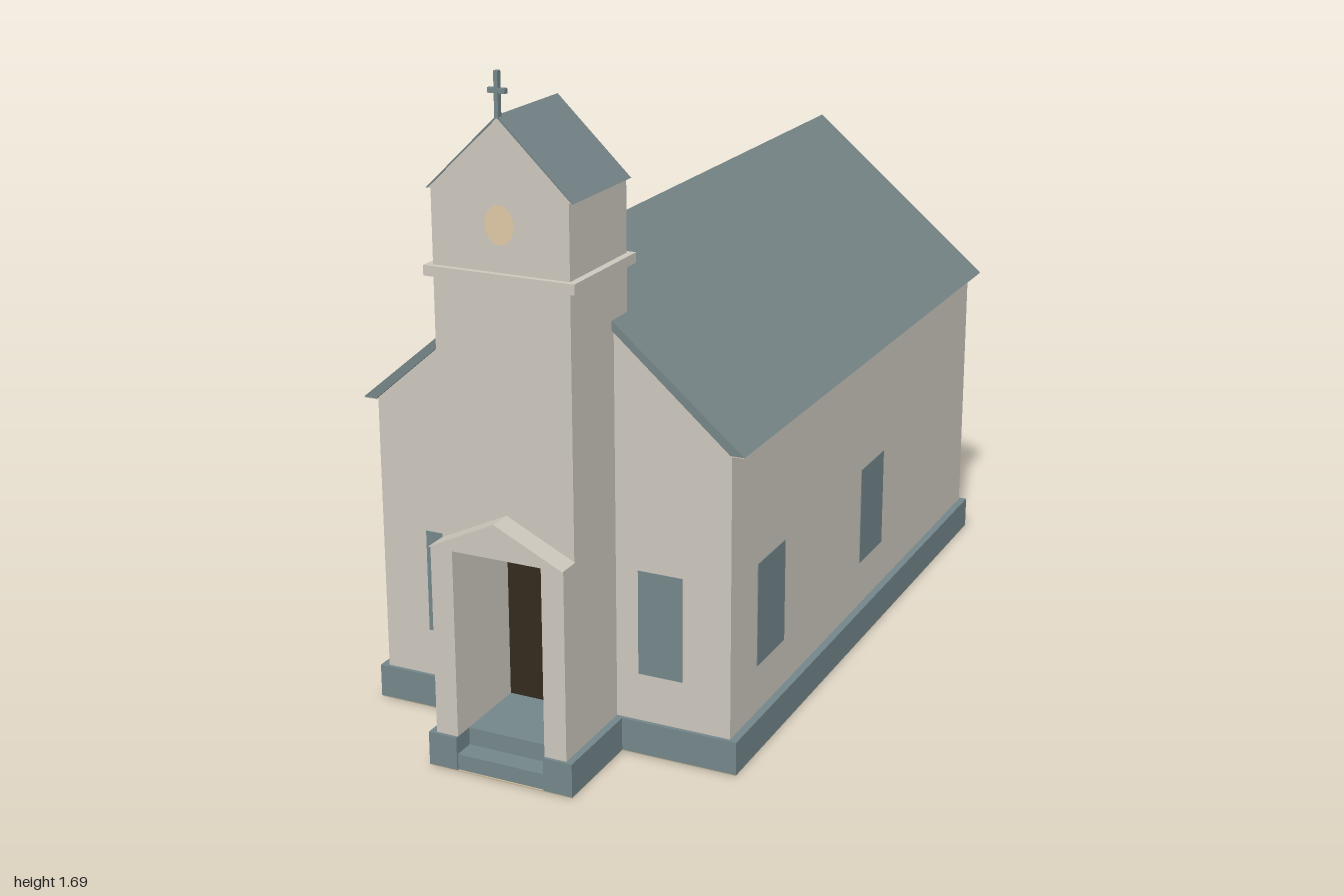
import * as THREE from 'three';

const mat = (name, color) => {
  const m = new THREE.MeshStandardMaterial({ color });
  m.name = name;
  return m;
};

export function createModel() {
  const church = new THREE.Group();
  church.name = 'church';

  const wall = mat('cream wall', 0xccc8bd);
  const slate = mat('slate', 0x74868a);
  const shingle = mat('grey roof', 0x768588);
  const door = mat('dark wood', 0x34291e);
  const ground = mat('tan underside', 0xc4b597);
  const amber = mat('amber glass', 0xdfc8a4);

  const add = (name, geometry, material) => {
    const mesh = new THREE.Mesh(geometry, material);
    mesh.name = name;
    church.add(mesh);
    return mesh;
  };

  // Box given by its limits on each axis
  const box = (name, material, x0, x1, y0, y1, z0, z1) => {
    const g = new THREE.BoxGeometry(x1 - x0, y1 - y0, z1 - z0);
    g.translate((x0 + x1) / 2, (y0 + y1) / 2, (z0 + z1) / 2);
    return add(name, g, material);
  };

  // The same box on both sides of the model
  const boxPair = (name, material, x0, x1, ...rest) => {
    box(name, material, x0, x1, ...rest);
    box(name, material, -x1, -x0, ...rest);
  };

  // Outline in x and y, extruded from z0 to z1
  const prism = (name, material, points, z0, z1) => {
    const shape = new THREE.Shape(points.map(([x, y]) => new THREE.Vector2(x, y)));
    const g = new THREE.ExtrudeGeometry(shape, { depth: z1 - z0, bevelEnabled: false });
    g.translate(0, 0, z0);
    return add(name, g, material);
  };

  // House-shaped wall block
  const gabled = (name, w, y0, eave, peak, z0, z1) =>
    prism(name, wall, [[-w, y0], [w, y0], [w, eave], [0, peak], [-w, eave]], z0, z1);

  // Triangular gable
  const gable = (name, w, eave, peak, z0, z1) =>
    prism(name, wall, [[-w, eave], [w, eave], [0, peak]], z0, z1);

  // Chevron roof, cut level at the eaves
  const roof = (name, w, inner, eave, peak, innerPeak, z0, z1) =>
    prism(name, shingle, [[w, eave], [0, peak], [-w, eave], [-inner, eave], [0, innerPeak], [inner, eave]], z0, z1);

  // Plinth and its underside
  box('plinth', slate, -0.495, 0.495, 0.005, 0.09, -1, 0.74);
  box('plinthUnderside', ground, -0.494, 0.494, 0.002, 0.005, -0.999, 0.739);
  box('porchUnderside', ground, -0.192, 0.192, 0.002, 0.005, 0.739, 0.999);

  // Porch plinth, floor and entrance step
  boxPair('porchPlinth', slate, 0.117, 0.193, 0.005, 0.09, 0.74, 1);
  box('porchFloor', slate, -0.117, 0.117, 0.005, 0.09, 0.74, 0.94);
  box('entranceStep', slate, -0.117, 0.117, 0.005, 0.045, 0.94, 0.995);

  // Nave, with cream soffits and a flush rear gable
  gabled('naveWalls', 0.475, 0.09, 0.81, 1.22, -0.99, 0.73);
  roof('naveRoof', 0.51, 0.475, 0.81, 1.24, 1.22, -0.997, 0.74);
  gable('rearGable', 0.508, 0.81, 1.238, -1, -0.997);
  boxPair('naveSoffit', wall, 0.475, 0.508, 0.807, 0.81, -0.999, 0.738);

  // Tower with the open porch passage beneath it
  boxPair('porchWall', wall, 0.117, 0.175, 0.09, 0.57, 0.73, 0.992);
  box('tower', wall, -0.175, 0.175, 0.57, 1.412, 0.66, 0.938);
  gable('towerGable', 0.185, 1.412, 1.587, 0.66, 0.938);
  roof('towerRoof', 0.187, 0.182, 1.412, 1.592, 1.586, 0.658, 0.939);
  gable('porchGable', 0.177, 0.57, 0.655, 0.938, 1);
  box('towerCornice', wall, -0.193, 0.193, 1.21, 1.235, 0.648, 0.952);
  box('entranceDoor', door, -0.117, 0.117, 0.09, 0.48, 0.73, 0.737);

  // Oval window on the tower front
  const oval = new THREE.CircleGeometry(0.037, 24);
  oval.scale(1, 1.25, 1);
  oval.translate(0, 1.345, 0.9395);
  add('ovalWindow', oval, amber);

  // Cross at the ridge
  box('crossPost', slate, -0.005, 0.005, 1.585, 1.69, 0.926, 0.94);
  box('crossBar', slate, -0.022, 0.022, 1.64, 1.652, 0.927, 0.939);

  // Nave windows: front, back and both sides
  for (const z of [-0.99, 0.73]) {
    boxPair('endWindow', slate, 0.234, 0.35, 0.213, 0.48, z - 0.002, z + 0.002);
  }
  for (const z of [-0.207, 0.49]) {
    boxPair('sideWindow', slate, 0.473, 0.477, 0.213, 0.48, z - 0.084, z + 0.084);
  }

  return church;
}
